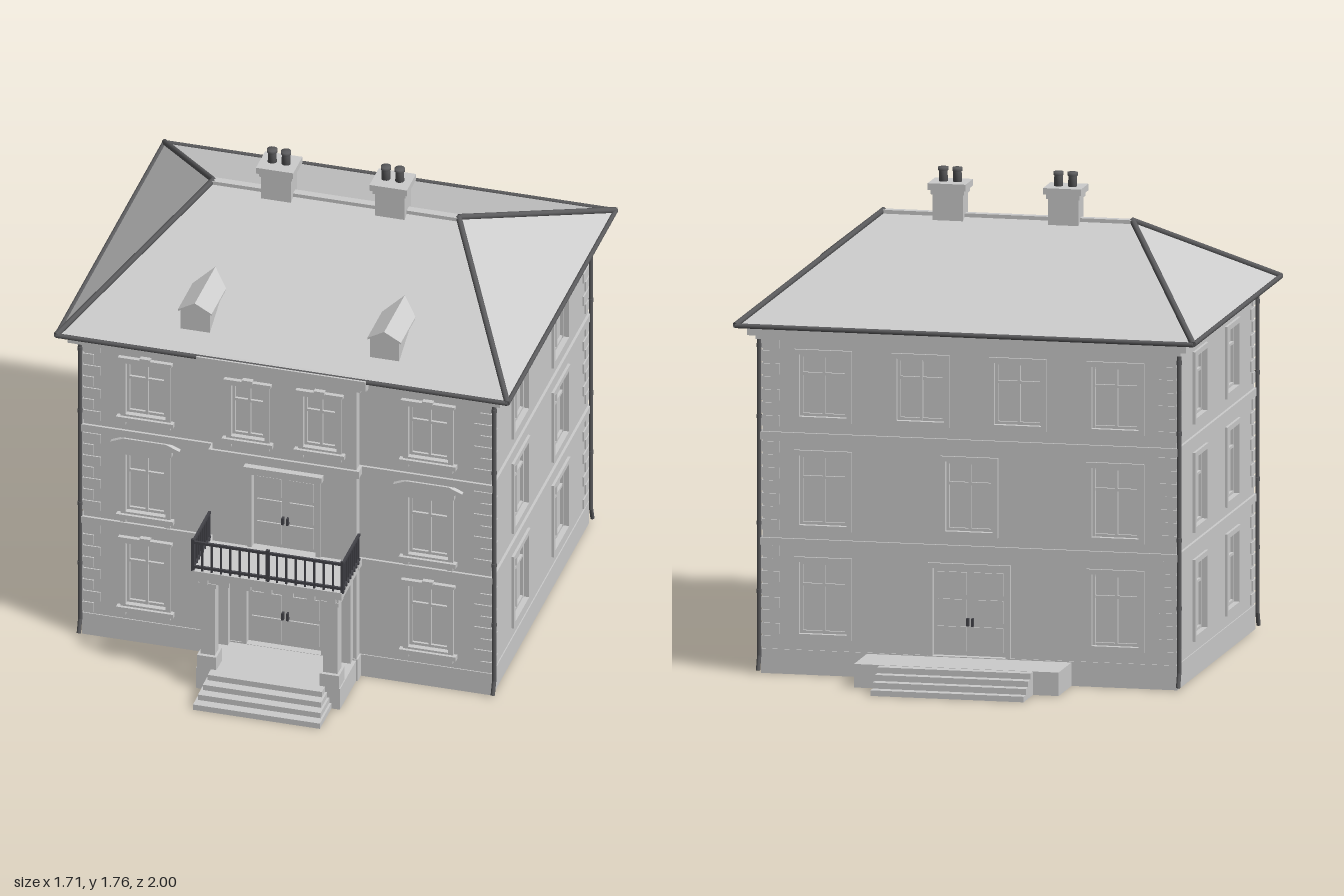
import * as THREE from 'three';

function flat(name, color) {
  const m = new THREE.MeshStandardMaterial({ color });
  m.name = name;
  return m;
}
const stone = flat('pale stone', 0xcccccc);
const lead = flat('dark lead', 0x5c5c5e);
const iron = flat('black iron', 0x434349);

function add(parent, geo, name, x = 0, y = 0, z = 0, mat = stone) {
  const m = new THREE.Mesh(geo, mat);
  m.name = name;
  m.position.set(x, y, z);
  parent.add(m);
  return m;
}
// box given by its limits on each axis
function box(parent, name, x0, x1, y0, y1, z0, z1, mat = stone) {
  return add(parent, new THREE.BoxGeometry(x1 - x0, y1 - y0, z1 - z0), name,
    (x0 + x1) / 2, (y0 + y1) / 2, (z0 + z1) / 2, mat);
}
function rect(Type, x0, x1, y0, y1) {
  return new Type([[x0, y0], [x1, y0], [x1, y1], [x0, y1]].map(p => new THREE.Vector2(...p)));
}
function extrude(shape, depth) {
  return new THREE.ExtrudeGeometry(shape, { depth, bevelEnabled: false });
}
// lead rod between two points
function rod(parent, name, a, b, r, lift = 0) {
  const A = new THREE.Vector3(...a), B = new THREE.Vector3(...b), d = B.clone().sub(A);
  const m = add(parent, new THREE.CylinderGeometry(r, r, d.length(), 8), name, 0, 0, 0, lead);
  m.position.copy(A).add(B).multiplyScalar(0.5);
  m.position.y += lift;
  m.quaternion.setFromUnitVectors(new THREE.Vector3(0, 1, 0), d.normalize());
}

// raised surround around an opening
function surround(g, o, pad, depth) {
  const s = rect(THREE.Shape, o.x - o.w / 2 - pad, o.x + o.w / 2 + pad, o.y0 - (o.door ? 0 : pad), o.y1 + pad);
  s.holes.push(rect(THREE.Path, o.x - o.w / 2, o.x + o.w / 2, o.y0, o.y1));
  add(g, extrude(s, depth), 'surround');
}

// window: pane, sash bars, surround, sill and optional crown
function windowUnit(wall, o) {
  const g = new THREE.Group();
  g.name = 'window';
  wall.add(g);
  const l = o.x - o.w / 2, r = o.x + o.w / 2, b = 0.01;
  const bar = o.y0 + (o.y1 - o.y0) * 0.66;
  box(g, 'pane', l, r, o.y0, o.y1, -0.026, -0.021);
  for (const x of [l, o.x - b / 2, r - b]) box(g, 'sashUpright', x, x + b, o.y0, o.y1, -0.022, -0.01);
  for (const y of [o.y0, bar, o.y1 - b]) box(g, 'sashRail', l, r, y, y + b, -0.022, -0.011);
  surround(g, o, 0.019, 0.01);
  if (o.sill) {
    box(g, 'sill', l - 0.032, r + 0.032, o.y0 - 0.025, o.y0 - 0.008, 0, 0.022);
    for (const x of [l - 0.018, r - 0.002]) box(g, 'sillBracket', x, x + 0.02, o.y0 - 0.042, o.y0 - 0.025, 0, 0.014);
  }
  if (o.crown === 'cap') {
    box(g, 'crown', l - 0.026, r + 0.026, o.y1 + 0.015, o.y1 + 0.026, 0, 0.017);
    box(g, 'keystone', o.x - 0.02, o.x + 0.02, o.y1 + 0.022, o.y1 + 0.034, 0, 0.019);
  }
  if (o.crown === 'pediment') {
    // sloping hood that dies into the band above
    const s = new THREE.Shape([[-0.1, 0.02], [0.1, 0.02], [0.1, 0.04], [0.13, 0.05], [0.08, 0.071], [-0.08, 0.071], [-0.13, 0.05], [-0.1, 0.04]]
      .map(p => new THREE.Vector2(o.x + p[0], o.y1 + p[1])));
    add(g, extrude(s, 0.018), 'pediment');
  }
}

// double door with panels and handles
function doorUnit(wall, o) {
  const g = new THREE.Group();
  g.name = 'door';
  wall.add(g);
  const h = o.y1 - o.y0;
  box(g, 'leaves', o.x - o.w / 2, o.x + o.w / 2, o.y0, o.y1, -0.026, -0.019);
  for (const s of [-1, 1]) {
    const c = o.x + s * o.w / 4, hw = o.w / 4 - 0.014;
    for (const [a, e] of [[0.05, 0.33], [0.38, 0.64], [0.69, 0.95]])
      box(g, 'panel', c - hw, c + hw, o.y0 + h * a, o.y0 + h * e, -0.02, -0.013);
    box(g, 'handle', o.x + s * 0.009 - 0.004, o.x + s * 0.009 + 0.004, o.y0 + h * 0.34, o.y0 + h * 0.43, -0.02, -0.004, iron);
  }
  surround(g, o, 0.018, 0.01);
  if (o.hood) box(g, 'doorHood', o.x - o.w / 2 - 0.027, o.x + o.w / 2 + 0.027, o.y1 + 0.016, o.y1 + 0.038, 0, 0.025);
}

// wall sheet with real openings, facing local +z
function wall(parent, name, halfW, top, x, z, turn, openings) {
  const g = new THREE.Group();
  g.name = name;
  g.position.set(x, 0, z);
  g.rotation.y = turn;
  const s = rect(THREE.Shape, -halfW, halfW, 0, top);
  for (const o of openings) s.holes.push(rect(THREE.Path, o.x - o.w / 2, o.x + o.w / 2, o.y0, o.y1));
  add(g, extrude(s, 0.025), name + 'Sheet', 0, 0, -0.025);
  for (const o of openings) (o.door ? doorUnit : windowUnit)(g, o);
  parent.add(g);
}

export function createModel() {
  const house = new THREE.Group();
  house.name = 'house';
  const W = 0.765, F = 0.6, B = -0.64, ZC = -0.02, TOP = 1.25;

  // walls and windows
  box(house, 'core', -W + 0.025, W - 0.025, 0, TOP, B + 0.025, F - 0.025);
  box(house, 'bayCore', -0.27, 0.27, 0, TOP, F - 0.03, 0.615);
  const floors = [[0.155, 0.412], [0.545, 0.785], [0.955, 1.168]];
  const front = [], side = [], back = [];
  for (const s of [-1, 1]) floors.forEach(([y0, y1], i) => {
    front.push({ x: s * 0.53, w: 0.15, y0, y1, sill: true, crown: i === 1 ? 'pediment' : 'cap' });
    const plain = { y0: [0.15, 0.548, 0.945][i], y1: [0.412, 0.803, 1.172][i], w: 0.175 };
    side.push({ ...plain, x: s * 0.257 });
    back.push({ ...plain, x: s * 0.54 });
    if (i === 2) back.push({ ...plain, x: s * 0.18 });
  });
  back.push({ x: 0, w: 0.175, y0: 0.548, y1: 0.803 }, { x: 0, w: 0.27, y0: 0.09, y1: 0.412, door: true });
  wall(house, 'frontWall', W, TOP, 0, F, 0, front);
  wall(house, 'backWall', W, TOP, 0, B, Math.PI, back);
  for (const s of [-1, 1]) wall(house, 'sideWall', (F - B) / 2, TOP, s * W, ZC, s * Math.PI / 2, side);
  wall(house, 'bayWall', 0.27, TOP, 0, 0.64, 0, [
    { x: -0.135, w: 0.125, y0: 0.955, y1: 1.168, sill: true, crown: 'cap' },
    { x: 0.135, w: 0.125, y0: 0.955, y1: 1.168, sill: true, crown: 'cap' },
    { x: 0, w: 0.24, y0: 0.5, y1: 0.805, door: true, hood: true },
    { x: 0, w: 0.28, y0: 0.09, y1: 0.42, door: true }]);

  // horizontal bands: y0, y1, overhang
  for (const [y0, y1, o] of [[0, 0.09, 0.004], [0.47, 0.497, 0.01], [0.855, 0.885, 0.01], [1.225, 1.245, 0.02], [1.242, 1.281, 0.046]]) {
    box(house, 'band', -W - o, W + o, y0, y1, B - o, F + o);
    box(house, 'bayBand', -0.272 - o, 0.272 + o, y0, y1, F, 0.64 + Math.min(o, 0.035));
  }
  box(house, 'bayCornice', -0.318, 0.318, 1.25, 1.289, F, 0.686);

  // alternating corner stones
  for (const sx of [-1, 1]) for (const sz of [-1, 1]) for (let i = 0; i < 24; i++) {
    const y = 0.097 + i * 0.0475, lx = i % 2 ? 0.07 : 0.045, lz = i % 2 ? 0.045 : 0.07;
    if ((y > 0.43 && y < 0.497) || (y > 0.82 && y < 0.885) || y > 1.19) continue;
    add(house, new THREE.BoxGeometry(lx, 0.039, lz), 'cornerStone',
      sx * (W + 0.005 - lx / 2), y + 0.02, (sz > 0 ? F + 0.005 : B - 0.005) - sz * lz / 2);
  }

  // hipped roof
  const X = 0.846, Z0 = -0.723, Z1 = 0.673, E = 1.28, R = 0.46, P = 1.592;
  const a = [-X, E, Z1], b = [X, E, Z1], c = [X, E, Z0], d = [-X, E, Z0], l = [-R, P, ZC - 0.005], r = [R, P, ZC - 0.005];
  const roof = new THREE.BufferGeometry();
  roof.setAttribute('position', new THREE.Float32BufferAttribute(
    [a, b, r, a, r, l, c, d, l, c, l, r, b, c, r, d, a, l, a, d, c, a, c, b].flat(), 3));
  roof.computeVertexNormals();
  add(house, roof, 'roof');
  for (const [p, q] of [[a, l], [d, l], [b, r], [c, r]]) rod(house, 'hipRoll', p, q, 0.011, 0.004);
  for (const [p, q] of [[a, b], [b, c], [c, d], [d, a]]) rod(house, 'gutter', p, q, 0.009, 0.002);
  box(house, 'ridgeCap', -R, R, 1.575, 1.599, -0.04, -0.01);

  for (const s of [-1, 1]) {
    // dormers
    const dormer = new THREE.Shape([[-0.055, 1.32], [0.055, 1.32], [0.055, 1.405], [0, 1.437], [-0.055, 1.405]].map(p => new THREE.Vector2(...p)));
    add(house, extrude(dormer, 0.27), 'dormer', s * 0.355, 0, 0.3);
    const lid = new THREE.Shape([[-0.063, 1.401], [0, 1.436], [0.063, 1.401], [0.063, 1.408], [0, 1.443], [-0.063, 1.408]].map(p => new THREE.Vector2(...p)));
    add(house, extrude(lid, 0.275), 'dormerRoof', s * 0.355, 0, 0.3);

    // chimneys
    const k = new THREE.Group();
    k.name = 'chimney';
    k.position.set(s * 0.213, 0, -0.025);
    house.add(k);
    box(k, 'stack', -0.056, 0.056, 1.52, 1.68, -0.04, 0.04);
    box(k, 'stackCollar', -0.062, 0.062, 1.67, 1.692, -0.049, 0.049);
    box(k, 'stackCap', -0.07, 0.07, 1.688, 1.712, -0.06, 0.06);
    for (const px of [-0.026, 0.026]) {
      const pot = [[0, 1.705], [0.017, 1.705], [0.016, 1.75], [0.019, 1.752], [0.019, 1.764], [0, 1.764]];
      add(k, new THREE.LatheGeometry(pot.map(p => new THREE.Vector2(...p)), 12), 'chimneyPot', px, 0, 0, lead);
    }

    // rain pipes
    for (const [z, sz] of [[F + 0.004, 1], [B - 0.004, -1]]) {
      const x = s * 0.776;
      rod(house, 'rainPipe', [x, 0.06, z], [x, 1.25, z], 0.008);
      rod(house, 'rainPipeFoot', [x, 0.063, z], [x, 0.012, z + sz * 0.018], 0.008);
      for (const y of [0.3, 0.55, 0.94, 1.2]) add(house, new THREE.CylinderGeometry(0.01, 0.01, 0.014, 8), 'pipeClip', x, y, z, lead);
    }
  }

  // front porch
  const porch = new THREE.Group();
  porch.name = 'porch';
  house.add(porch);
  box(porch, 'platform', -0.27, 0.27, 0, 0.085, 0.63, 0.85);
  for (let i = 0; i < 4; i++) {
    const w = 0.238 - i * 0.008;
    box(porch, 'step', -w, w, 0, 0.022 * (i + 1), 0.84, 1 - i * 0.036);
  }
  for (const s of [-1, 1]) {
    const x = s * 0.23;
    box(porch, 'pedestal', x - 0.036, x + 0.036, 0, 0.14, 0.778, 0.852);
    box(porch, 'column', x - 0.027, x + 0.027, 0.13, 0.44, 0.79, 0.838);
    box(porch, 'capital', x - 0.033, x + 0.033, 0.425, 0.442, 0.784, 0.845);
    box(porch, 'pilaster', x - 0.027, x + 0.027, 0.08, 0.44, 0.63, 0.67);
  }
  box(porch, 'entablature', -0.262, 0.262, 0.44, 0.472, 0.63, 0.842);
  for (let i = 0; i < 7; i++) {
    const x = -0.24 + i * 0.08;
    box(porch, 'bracket', x - 0.015, x + 0.015, 0.443, 0.472, 0.83, 0.855);
  }
  box(porch, 'balconyFloor', -0.28, 0.28, 0.468, 0.498, 0.63, 0.864);

  // balcony railing
  const rail = new THREE.Group();
  rail.name = 'railing';
  house.add(rail);
  for (const y of [0.508, 0.61]) {
    box(rail, 'frontRail', -0.284, 0.284, y, y + 0.01, 0.851, 0.86, iron);
    for (const s of [-1, 1]) box(rail, 'sideRail', s * 0.28 - 0.0045, s * 0.28 + 0.0045, y, y + 0.01, 0.64, 0.856, iron);
  }
  for (let i = 0; i <= 16; i++) {
    const x = -0.28 + i * 0.035, t = i % 8 ? 0.0035 : 0.006;
    box(rail, 'baluster', x - t, x + t, 0.495, i % 8 ? 0.615 : 0.628, 0.855 - t, 0.855 + t, iron);
  }
  for (const s of [-1, 1]) for (let i = 0; i < 8; i++) {
    const z = 0.648 + i * 0.026;
    box(rail, 'baluster', s * 0.28 - 0.0035, s * 0.28 + 0.0035, 0.495, 0.615, z - 0.0035, z + 0.0035, iron);
  }

  // back terrace and steps
  box(house, 'backTerrace', -0.378, 0.378, 0, 0.086, -0.85, B + 0.01);
  for (let i = 0; i < 4; i++) box(house, 'backStep', -0.283, 0.283, 0, 0.0215 * (i + 1) - 0.001, -1 + i * 0.037, -0.84);

  return house;
}
